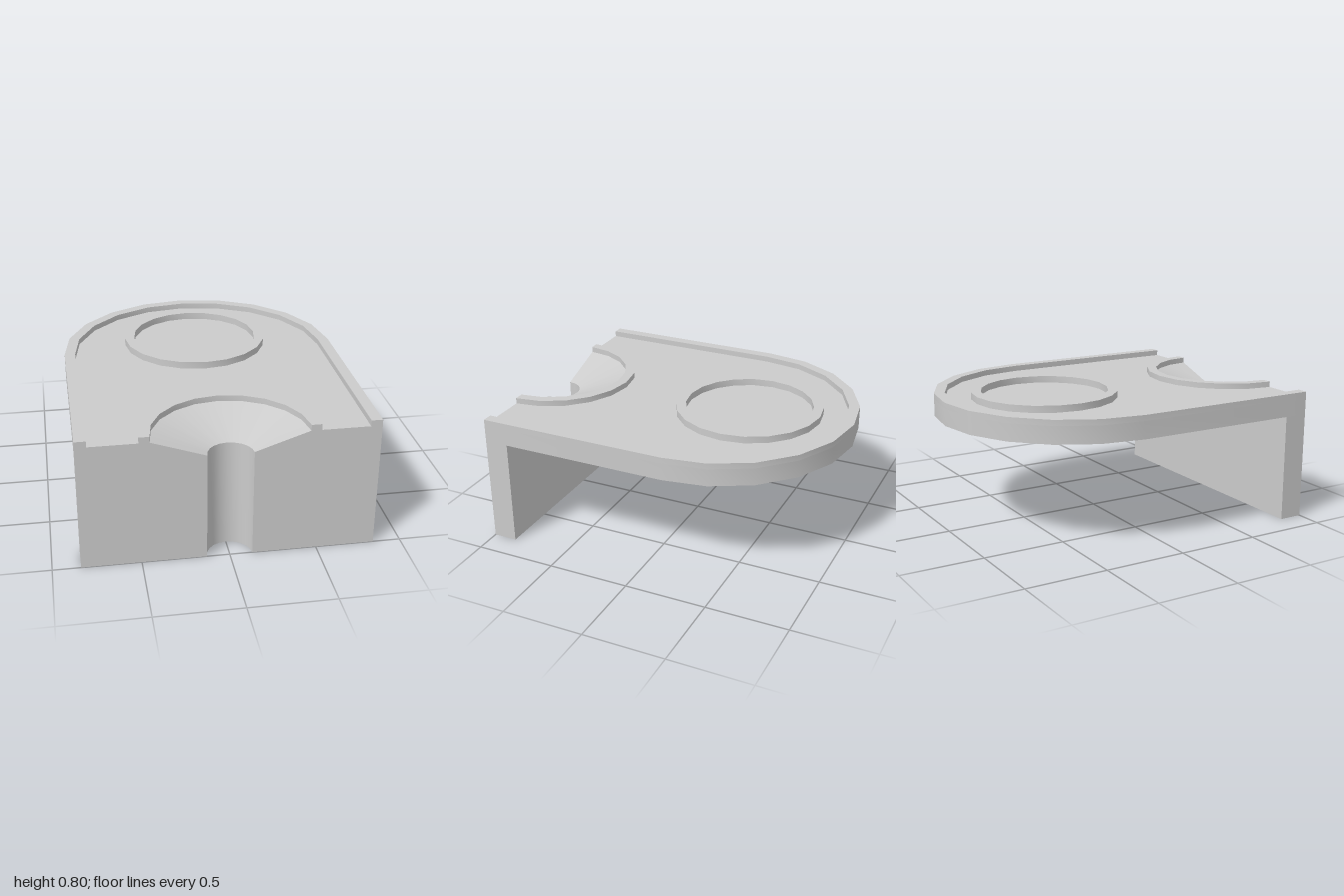
import * as THREE from 'three';
import { toCreasedNormals } from 'three/addons/utils/BufferGeometryUtils.js';

const W = 0.84, RIM = 0.065;            // half width, rim thickness
const UNDER = 0.65, FLOOR = 0.755, TOP = 0.79;
const HOLE = 0.13, FUNNEL = 0.44;       // drain and funnel radii
const CREASE = 0.322;                   // smooths the 18 degree facets only

const material = new THREE.MeshStandardMaterial({ color: 0xcccccc });

// Plan points (x, -z) on an arc centred on x = 0
function arc(r, cz, from, to, n) {
  return Array.from({ length: n + 1 }, (_, i) => {
    const a = from + (to - from) * i / n;
    return new THREE.Vector2(r * Math.cos(a), -cz + r * Math.sin(a));
  });
}

const P = (x, z) => new THREE.Vector2(x, -z);

// Straight sides closed by a half round back, from the front right to the front left
const archLine = r => [P(r, 1), ...arc(r, -0.16, 0, Math.PI, 10), P(-r, 1)];

// Half circle in the front edge, from -x to +x
const halfCircle = r => arc(r, 1, Math.PI, 0, 10);

// Plan outline raised from y0 to y1
function slab(points, y0, y1, hole) {
  const shape = new THREE.Shape(points);
  if (hole) shape.holes.push(new THREE.Path(hole));
  const geo = new THREE.ExtrudeGeometry(shape, { depth: y1 - y0, bevelEnabled: false });
  return geo.rotateX(-Math.PI / 2).translate(0, y0, 0);
}

export function createModel() {
  const group = new THREE.Group();
  const add = (name, geo) => {
    const mesh = new THREE.Mesh(toCreasedNormals(geo, CREASE), material);
    mesh.name = name;
    group.add(mesh);
  };

  // Plate: the lower edge of its front cut-out is drawn in to form the funnel
  const plate = slab([...archLine(W), ...halfCircle(FUNNEL)], UNDER, FLOOR);
  const pos = plate.attributes.position;
  for (let i = 0; i < pos.count; i++) {
    const x = pos.getX(i), z = pos.getZ(i);
    const r = Math.hypot(x, z - 1);
    if (pos.getY(i) < UNDER + 0.01 && r < FUNNEL + 0.01) {
      const k = HOLE / r;
      pos.setX(i, x * k);
      pos.setZ(i, 1 + (z - 1) * k);
    }
  }
  add('plate', plate);

  // Front wall with the half round drain groove
  add('frontWall', slab(
    [P(W, 1), P(W, 0.855), P(-W, 0.855), P(-W, 1), ...halfCircle(HOLE)], 0, UNDER));

  // Raised edges
  add('outerRim', slab([...archLine(W), ...archLine(W - RIM).reverse()], FLOOR, TOP));
  add('funnelRim', slab(
    [...halfCircle(0.5).reverse(), ...halfCircle(FUNNEL)], FLOOR, TOP));
  const circle = r => arc(r, -0.345, 0, Math.PI * 2, 20).slice(0, -1);
  add('cupRing', slab(circle(0.447), FLOOR, 0.797, circle(0.388)));

  return group;
}
